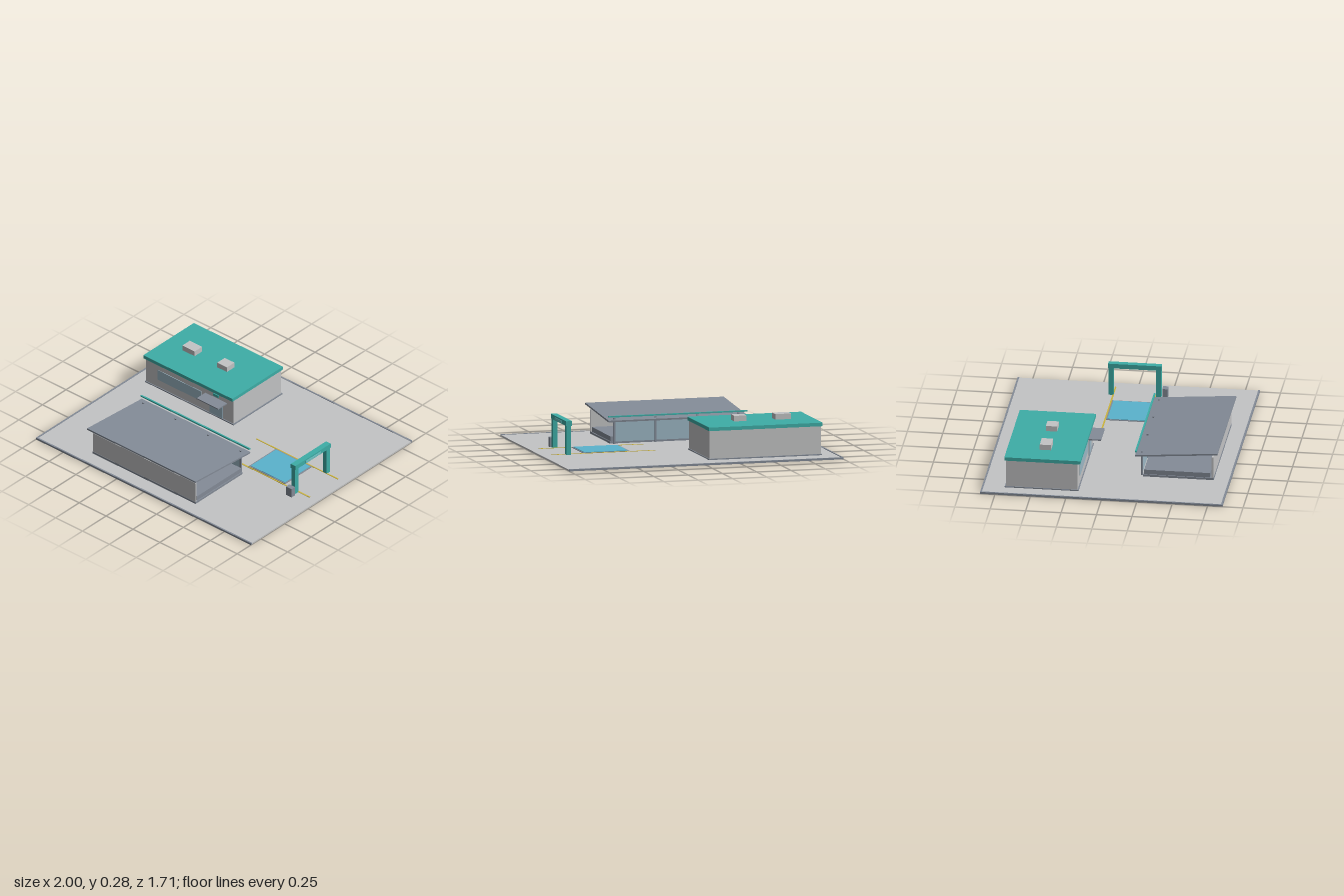
import * as THREE from 'three';

const mat = (name, color) => {
  const m = new THREE.MeshStandardMaterial({ color });
  m.name = name;
  return m;
};

export function createModel() {
  const concrete = mat('concrete', 0xc3c4c5);
  const slate = mat('slate', 0x848c98);
  const teal = mat('teal', 0x3eaea7);
  const water = mat('blue pad', 0x5ab3cd);
  const glass = mat('glass', 0x9db7c5);
  const yellow = mat('yellow line', 0xccb43c);
  const paleTeal = mat('pale teal', 0x6fc3c4);

  const model = new THREE.Group();
  model.name = 'serviceStation';
  const group = (name) => {
    const g = new THREE.Group();
    g.name = name;
    model.add(g);
    return g;
  };
  // box given by its lower and upper limits on each axis
  const box = (parent, name, m, x0, x1, y0, y1, z0, z1) => {
    const mesh = new THREE.Mesh(new THREE.BoxGeometry(x1 - x0, y1 - y0, z1 - z0), m);
    mesh.position.set((x0 + x1) / 2, (y0 + y1) / 2, (z0 + z1) / 2);
    mesh.name = name;
    parent.add(mesh);
    return mesh;
  };

  // paved ground with kerbs on three sides
  const site = group('site');
  box(site, 'ground', concrete, -0.988, 1, 0, 0.011, -0.843, 0.843);
  box(site, 'leftKerb', slate, -1, -0.988, 0, 0.014, -0.855, 0.855);
  for (const s of [-1, 1])
    box(site, 'kerb', slate, -0.988, 1, 0, 0.014, s * 0.849 - 0.006, s * 0.849 + 0.006);

  // main building
  const building = group('building');
  box(building, 'plinth', slate, -0.89, -0.065, 0.011, 0.019, -0.695, -0.175);
  box(building, 'walls', concrete, -0.883, -0.072, 0.019, 0.216, -0.688, -0.182);
  box(building, 'roof', teal, -0.893, -0.065, 0.216, 0.241, -0.698, -0.162);
  for (const [x0, x1] of [[-0.73, -0.615], [-0.405, -0.315]])
    box(building, 'roofUnit', concrete, x0, x1, 0.241, 0.28, -0.47, -0.39);
  box(building, 'window', glass, -0.777, -0.37, 0.08, 0.16, -0.182, -0.178);
  box(building, 'door', glass, -0.29, -0.17, 0.019, 0.14, -0.182, -0.178);
  box(building, 'awning', slate, -0.333, -0.133, 0.156, 0.165, -0.182, -0.09);
  box(building, 'doorSign', teal, -0.255, -0.205, 0.18, 0.198, -0.182, -0.174);

  // open bay shelter
  const shelter = group('shelter');
  box(shelter, 'base', slate, -0.577, 0.382, 0.011, 0.026, 0.24, 0.737);
  box(shelter, 'floor', slate, -0.57, 0.375, 0.026, 0.06, 0.245, 0.712);
  box(shelter, 'frontWall', concrete, -0.575, 0.38, 0.026, 0.182, 0.723, 0.735);
  const roof = box(shelter, 'slopingRoof', slate, -0.602, 0.407, 0.191, 0.203, 0.185, 0.767);
  roof.rotation.x = -Math.atan(0.044 / 0.58);
  box(shelter, 'tealRail', teal, -0.605, 0.407, 0.203, 0.213, 0.185, 0.197);
  const postX = [-0.55, -0.25, 0.053, 0.355];
  for (const x of postX)
    box(shelter, 'post', slate, x - 0.007, x + 0.007, 0.011, 0.193, 0.222, 0.234);
  for (let i = 0; i < 3; i++)
    box(shelter, 'glassPanel', glass, postX[i] + 0.007, postX[i + 1] - 0.007, 0.026, 0.17, 0.227, 0.231);

  // wash pad between guide lines
  const pad = group('washPad');
  box(pad, 'padFrame', slate, 0.353, 0.69, 0.011, 0.015, -0.147, 0.14);
  box(pad, 'padSurface', water, 0.363, 0.68, 0.015, 0.018, -0.137, 0.13);
  for (const z of [-0.153, 0.147])
    box(pad, 'guideLine', yellow, 0.165, 0.927, 0.011, 0.0135, z - 0.005, z + 0.005);

  // drive-through arch with its kiosk
  const arch = group('arch');
  for (const s of [-1, 1])
    box(arch, 'archPost', teal, 0.79, 0.823, 0.011, 0.218, s * 0.168 - 0.018, s * 0.168 + 0.018);
  box(arch, 'archBeam', teal, 0.785, 0.828, 0.216, 0.25, -0.188, 0.188);
  box(arch, 'archPanel', paleTeal, 0.828, 0.832, 0.222, 0.238, -0.08, 0.08);
  box(arch, 'kiosk', slate, 0.78, 0.833, 0.011, 0.08, 0.195, 0.233);

  return model;
}
